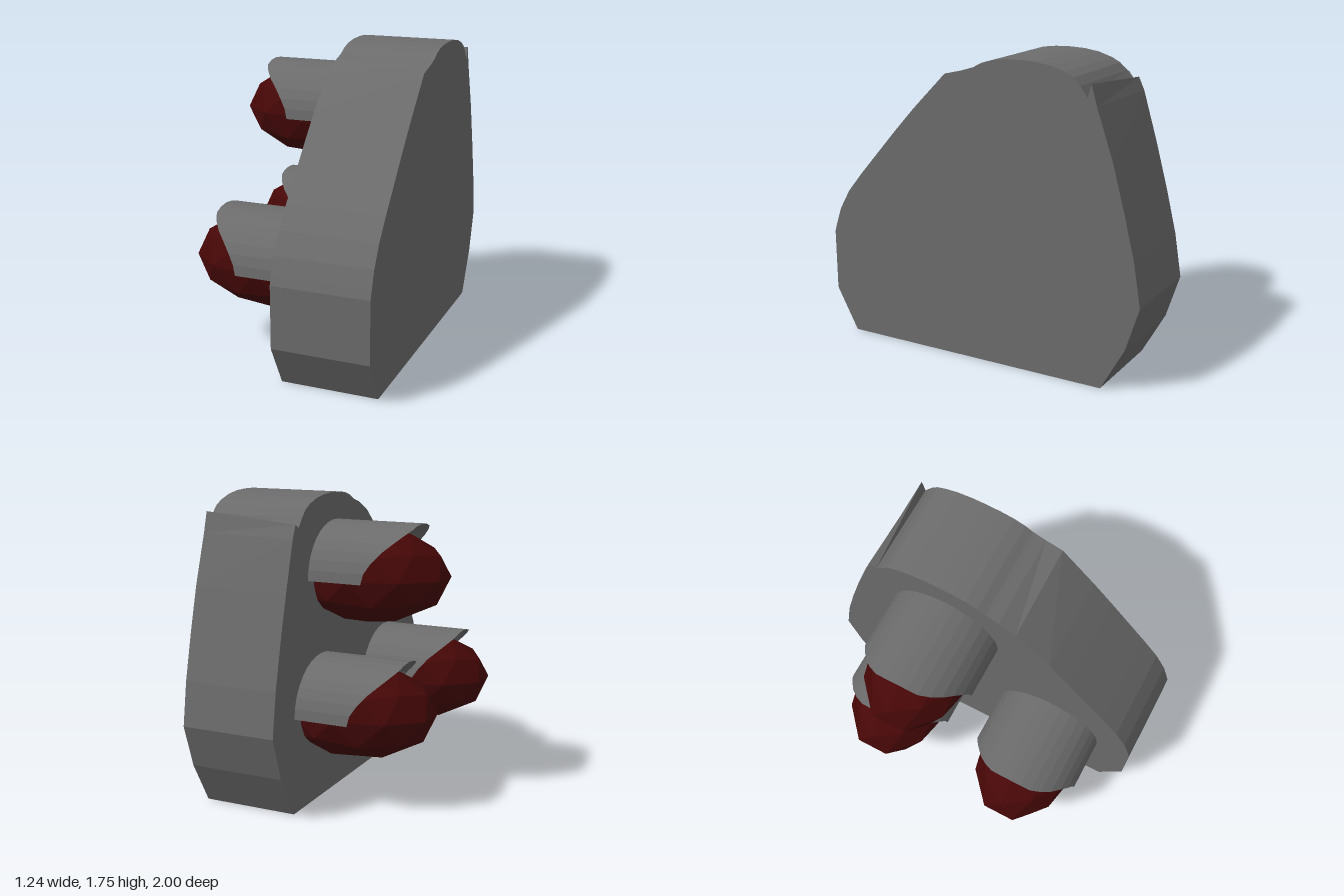
import * as THREE from 'three';

const grey = new THREE.MeshStandardMaterial({ color: 0x6c6c6c, flatShading: true });
const greyThin = new THREE.MeshStandardMaterial({ color: 0x6c6c6c, flatShading: true, side: THREE.DoubleSide });
const red = new THREE.MeshStandardMaterial({ color: 0x460707, flatShading: true });

const BACK_X = 0.055; // face of the slab that carries the lamps

// Slab outline as [z, y], from the front foot over the top to the rear foot.
// A second pair moves the corner on the lamp side, where the edges run at a slant.
const OUTLINE = [
  [0.865, 0], [0.93, 0.12], [1, 0.25], [1, 0.61], [0.985, 0.66], [0.95, 0.76], [0.88, 0.88],
  [0.78, 1], [0.53, 1.28], [0.4, 1.42], [0.185, 1.635, 0, -0.03], [0.08, 1.66], [0.025, 1.677],
  [0, 1.685], [-0.05, 1.712], [-0.12, 1.733], [-0.2, 1.743], [-0.29, 1.746], [-0.38, 1.743],
  [-0.47, 1.73], [-0.55, 1.705], [-0.6, 1.68], [-0.64, 1.64], [-0.68, 1.58, 0, 0.01],
  [-0.702, 1.655, -0.012, -0.045], [-0.735, 1.54, -0.012, 0], [-0.83, 1.26],
  [-0.9, 1], [-0.96, 0.75], [-1, 0.5], [-0.92, 0.25], [-0.78, 0],
];

function slabGeometry() {
  const shape = new THREE.Shape(OUTLINE.map(([z, y]) => new THREE.Vector2(-z, y)));
  const geometry = new THREE.ExtrudeGeometry(shape, { depth: 0.562, bevelEnabled: false });
  geometry.rotateY(Math.PI / 2).translate(BACK_X, 0, 0);

  // Shift the slanted corners on the lamp side
  const p = geometry.attributes.position;
  const slanted = OUTLINE.filter((corner) => corner.length > 2);
  for (let i = 0; i < p.count; i++) {
    if (p.getX(i) > BACK_X + 0.01) continue;
    const corner = slanted.find(([z, y]) => Math.hypot(p.getZ(i) - z, p.getY(i) - y) < 1e-4);
    if (corner) p.setXYZ(i, BACK_X, corner[1] + corner[3], corner[0] + corner[2]);
  }
  geometry.computeVertexNormals();
  return geometry;
}

// Front rim of the hood: [height fraction, x]
const RIM = [[0, -0.26], [0.2, -0.275], [0.48, -0.33], [0.78, -0.43], [0.93, -0.475], [1, -0.48]];

function rimX(h) {
  const i = Math.max(1, RIM.findIndex(([f]) => h <= f + 1e-6));
  const [h0, x0] = RIM[i - 1], [h1, x1] = RIM[i];
  return THREE.MathUtils.mapLinear(h, h0, h1, x0, x1);
}

// Open half tube whose front edge sweeps forward towards the crown
function hoodGeometry() {
  const segments = 16;
  const geometry = new THREE.PlaneGeometry(1, 1, segments, 1);
  const p = geometry.attributes.position;
  for (let i = 0; i < p.count; i++) {
    const angle = (p.getX(i) + 0.5) * Math.PI;
    const h = Math.max(0, Math.sin(angle));
    const x = p.getY(i) > 0 ? BACK_X : rimX(Math.min(1, h));
    p.setXYZ(i, x, h * 0.305, Math.cos(angle) * 0.333);
  }
  geometry.computeVertexNormals();
  return geometry;
}

// Faceted bulb with one vertex at each pole, stretched along x
function bulbGeometry() {
  const golden = (1 + Math.sqrt(5)) / 2;
  return new THREE.IcosahedronGeometry(1, 1)
    .rotateX(-Math.atan(golden))
    .rotateY(-Math.PI / 2)
    .scale(0.484, 0.28, 0.31)
    .translate(-0.16, 0.007, 0);
}

export function createModel() {
  const model = new THREE.Group();
  model.name = 'lampPanel';

  const slab = new THREE.Mesh(slabGeometry(), grey);
  slab.name = 'slab';
  model.add(slab);

  // Three hooded lamps: one above, two below
  const hoodShape = hoodGeometry(), bulbShape = bulbGeometry();
  for (const [name, y, z] of [
    ['upperLamp', 1.287, -0.25],
    ['lowerFrontLamp', 0.545, 0.455],
    ['lowerRearLamp', 0.545, -0.425],
  ]) {
    const lamp = new THREE.Group();
    lamp.name = name;
    const hood = new THREE.Mesh(hoodShape, greyThin);
    hood.name = 'hood';
    const bulb = new THREE.Mesh(bulbShape, red);
    bulb.name = 'bulb';
    lamp.add(hood, bulb);
    lamp.position.set(0, y, z);
    model.add(lamp);
  }
  return model;
}
